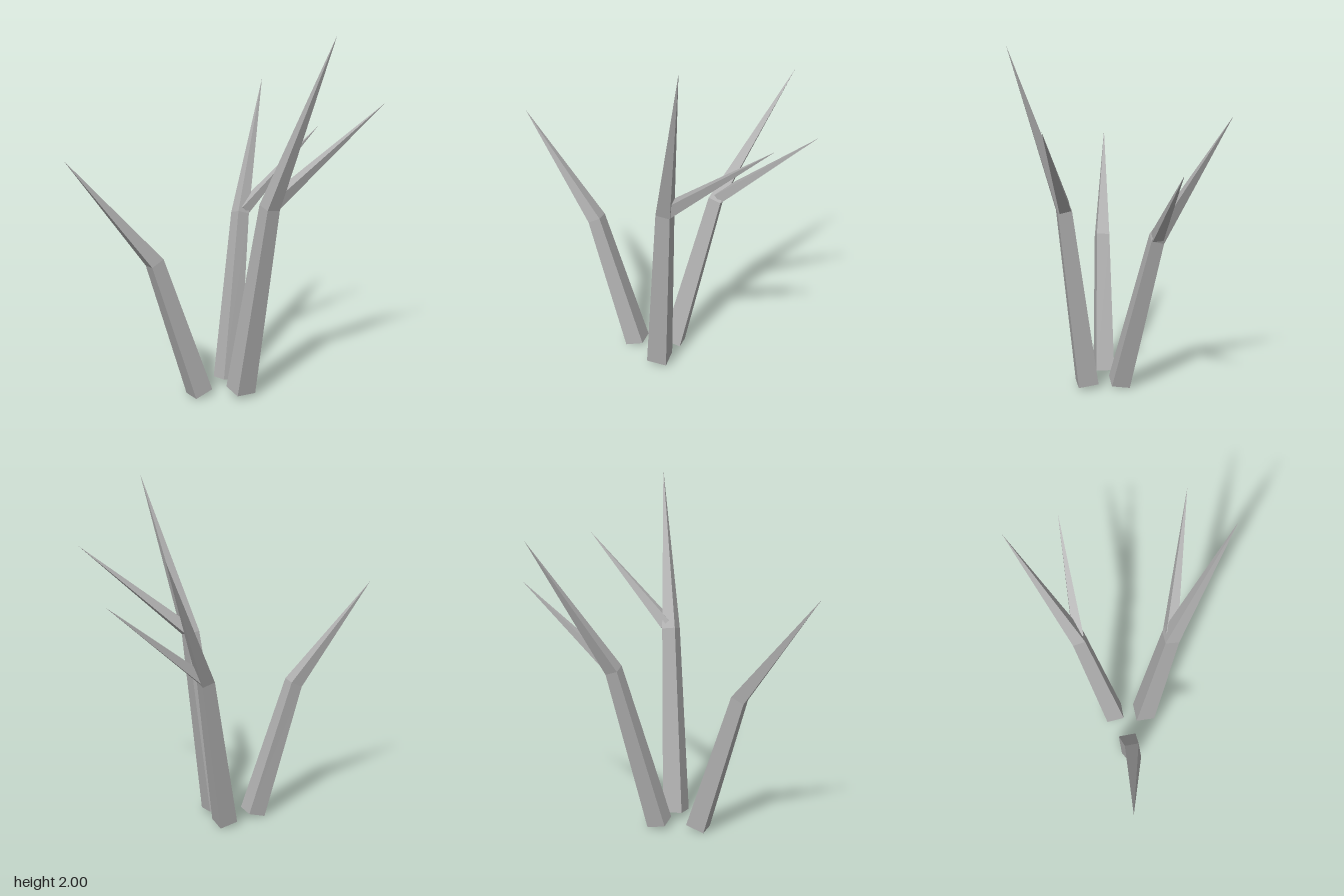
import * as THREE from 'three';

const SIDES = 4;
const UP = new THREE.Vector3(0, 1, 0);

// Diamond-shaped ring around a centre, facing along a direction
function ring(center, direction, radius) {
  const turn = new THREE.Quaternion().setFromUnitVectors(UP, direction);
  return Array.from({ length: SIDES }, (_, i) => {
    const a = (i / SIDES) * Math.PI * 2;
    return new THREE.Vector3(Math.cos(a) * radius, 0, Math.sin(a) * radius)
      .applyQuaternion(turn).add(center);
  });
}

// Faceted limb through the given points; the last point is a sharp tip
function limb(name, points, radii, material) {
  const path = points.map((p) => new THREE.Vector3(...p));
  const dirs = path.slice(1).map((p, i) => p.clone().sub(path[i]).normalize());
  const rings = radii.map((r, i) => {
    const d = dirs[i].clone();
    if (i > 0) d.add(dirs[i - 1]).normalize();
    return ring(path[i], d, r);
  });
  const tip = path[path.length - 1];
  const corners = [];
  for (let k = 0; k < SIDES; k++) {
    const n = (k + 1) % SIDES;
    for (let i = 0; i < rings.length - 1; i++) {
      const a = rings[i], b = rings[i + 1];
      corners.push(a[k], b[k], a[n], a[n], b[k], b[n]);
    }
    const last = rings[rings.length - 1];
    corners.push(last[k], tip, last[n]);
  }
  // Closed cut end
  const base = rings[0];
  corners.push(base[0], base[1], base[2], base[0], base[2], base[3]);

  const geometry = new THREE.BufferGeometry().setFromPoints(corners);
  geometry.computeVertexNormals();
  const mesh = new THREE.Mesh(geometry, material);
  mesh.name = name;
  return mesh;
}

export function createModel() {
  const group = new THREE.Group();
  group.name = 'bareBranches';
  const bark = new THREE.MeshStandardMaterial({ color: 0xb0b0b0, flatShading: true });
  bark.name = 'grey bark';

  // Three bent main branches
  group.add(
    limb('tallBranch', [[0.042, 0.03, 0.23], [0.203, 1.095, 0.26], [0.545, 2.0, 0.35]], [0.083, 0.056], bark),
    limb('backBranch', [[-0.072, 0.024, 0.077], [-0.048, 0.94, -0.188], [-0.01, 1.66, -0.66]], [0.077, 0.052], bark),
    limb('shortBranch', [[-0.187, 0.018, 0.268], [-0.385, 0.805, 0.413], [-0.77, 1.39, 0.66]], [0.077, 0.055], bark),
  );

  // Side twigs growing from the bends
  group.add(
    limb('tallBranchTwig', [[0.22, 1.115, 0.245], [0.765, 1.62, -0.04]], [0.046], bark),
    limb('backBranchTwig', [[-0.035, 0.957, -0.2], [0.35, 1.40, -0.585]], [0.042], bark),
  );
  return group;
}
